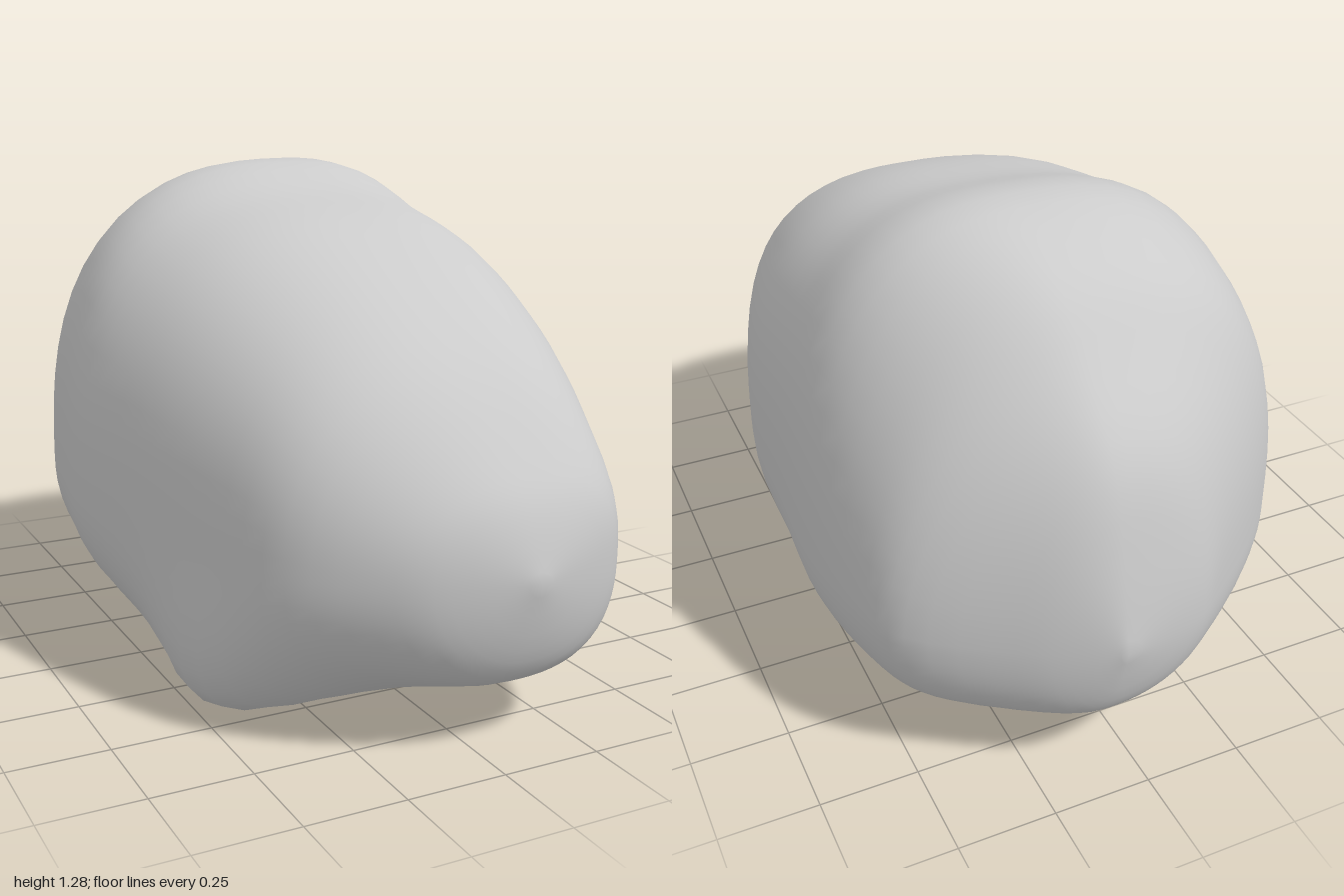
import * as THREE from 'three';
import { mergeVertices } from 'three/addons/utils/BufferGeometryUtils.js';

// Centre line of the boulder, from which every cross-section is measured
const CX = 0.08, CY = 0.45;

// Cross-sections from back to front:
// z, xMin, xMax, yMin, yMax, then corner squareness: top right, top left, bottom left, bottom right
const SECTIONS = [
  [-1.00, 0.08, 0.08, 0.45, 0.45, 2.0, 2.0, 2.0, 2.0],
  [-0.96, -0.12, 0.18, 0.28, 0.66, 1.9, 2.1, 2.1, 2.1],
  [-0.89, -0.23, 0.31, 0.19, 0.89, 1.7, 2.4, 2.3, 2.2],
  [-0.74, -0.42, 0.52, 0.13, 1.07, 1.6, 2.6, 2.4, 2.4],
  [-0.58, -0.55, 0.58, 0.06, 1.22, 1.9, 2.6, 2.5, 2.5],
  [-0.33, -0.60, 0.62, 0.04, 1.30, 2.5, 2.6, 2.5, 2.6],
  [-0.07, -0.63, 0.61, 0.04, 1.23, 2.6, 2.6, 2.6, 2.6],
  [0.20, -0.58, 0.60, 0.04, 1.17, 2.5, 2.6, 3.2, 2.5],
  [0.48, -0.50, 0.53, 0.05, 1.05, 2.5, 2.5, 3.8, 2.4],
  [0.72, -0.41, 0.44, 0.12, 0.89, 2.6, 2.4, 2.4, 2.5],
  [0.89, -0.23, 0.37, 0.18, 0.70, 2.7, 2.2, 2.0, 2.6],
  [0.96, -0.08, 0.25, 0.28, 0.59, 2.4, 2.1, 2.0, 2.3],
  [1.00, 0.08, 0.08, 0.45, 0.45, 2.0, 2.0, 2.0, 2.0],
];

// Catmull-Rom blend of all the section values
function sectionAt(t) {
  const last = SECTIONS.length - 1;
  const i = Math.min(Math.floor(t), last - 1), f = t - i;
  const at = k => SECTIONS[THREE.MathUtils.clamp(k, 0, last)];
  return SECTIONS[0].map((_, k) => {
    const p0 = at(i - 1)[k], p1 = at(i)[k], p2 = at(i + 1)[k], p3 = at(i + 2)[k];
    const m1 = (p2 - p0) / 2, m2 = (p3 - p1) / 2;
    return p1 + f * (m1 + f * (3 * (p2 - p1) - 2 * m1 - m2 + f * (2 * (p1 - p2) + m1 + m2)));
  });
}

// Superellipse point with its own radius and squareness in each quadrant
function sectionPoint(section, angle) {
  const [z, xMin, xMax, yMin, yMax, ...square] = section;
  const c = Math.cos(angle), s = Math.sin(angle);
  const n = square[s >= 0 ? (c >= 0 ? 0 : 1) : (c < 0 ? 2 : 3)];
  const r = (Math.abs(c) ** n + Math.abs(s) ** n) ** (-1 / n);
  const p = new THREE.Vector3(
    CX + r * c * (c >= 0 ? xMax - CX : CX - xMin),
    CY + r * s * (s >= 0 ? yMax - CY : CY - yMin), z);
  // Knob on the lower front corner
  const d2 = p.distanceToSquared(new THREE.Vector3(-0.42, 0.1, 0.43));
  const push = 0.065 * Math.exp(-d2 / 0.05);
  p.x -= push;
  p.y -= push;
  return p;
}

export function createModel() {
  const steps = (SECTIONS.length - 1) * 4, sides = 64;
  const positions = [], indices = [];
  for (let i = 0; i <= steps; i++) {
    const section = sectionAt(i / 4);
    for (let j = 0; j < sides; j++) {
      positions.push(...sectionPoint(section, (j / sides) * Math.PI * 2).toArray());
      if (i === steps) continue;
      const a = i * sides + j, b = i * sides + (j + 1) % sides;
      if (i > 0) indices.push(a, b, a + sides);
      if (i < steps - 1) indices.push(b, b + sides, a + sides);
      else indices.pop(), indices.pop(), indices.pop(), indices.push(a, b, a + sides);
    }
  }
  let geometry = new THREE.BufferGeometry();
  geometry.setAttribute('position', new THREE.Float32BufferAttribute(positions, 3));
  geometry.setIndex(indices);
  geometry = mergeVertices(geometry);
  // Rest on the ground
  geometry.computeBoundingBox();
  geometry.translate(0, -geometry.boundingBox.min.y, 0);
  geometry.computeVertexNormals();

  const boulder = new THREE.Mesh(geometry, new THREE.MeshStandardMaterial({ color: 0xcccccc }));
  boulder.name = 'boulder';
  const group = new THREE.Group();
  group.name = 'rock';
  group.add(boulder);
  return group;
}
